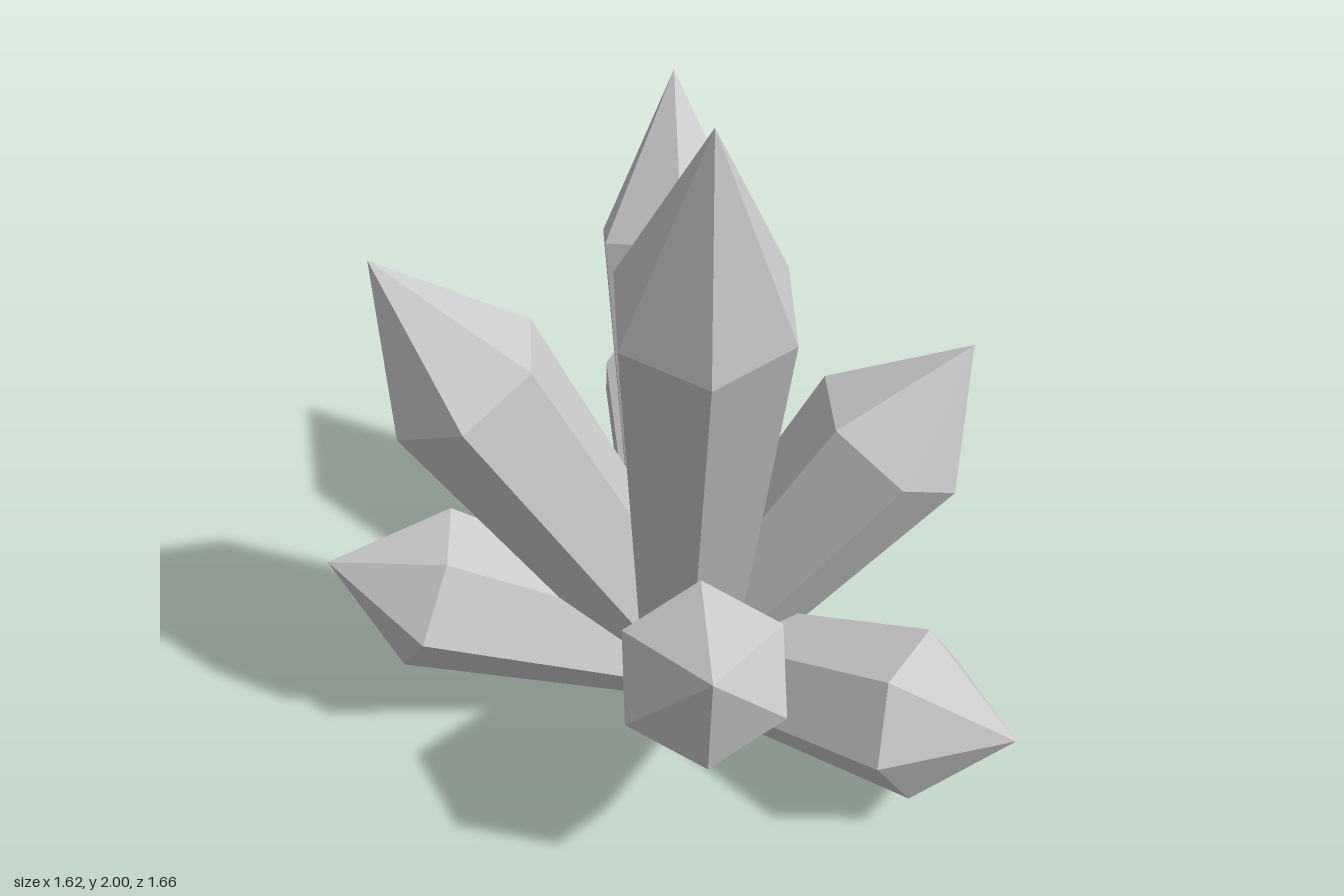
import * as THREE from 'three';

const material = new THREE.MeshStandardMaterial({ color: 0xcccccc, flatShading: true });
const ROOT = new THREE.Vector3(0.08, 0.14, 0.07);
const BASE_RADIUS = 0.13, SHOULDER_RADIUS = 0.208, SHAFT_SHARE = 0.73;

// Six-sided crystal growing from the shared root to its tip.
// edgeUp: an edge (rather than a flat) runs along the upper side.
function crystal(name, tip, edgeUp) {
  const dir = new THREE.Vector3(...tip).sub(ROOT);
  const length = dir.length();
  dir.normalize();
  const side = new THREE.Vector3(0, 1, 0).cross(dir).normalize();
  const other = edgeUp ? side.clone().cross(dir) : dir.clone().cross(side);

  const group = new THREE.Group();
  group.name = name;
  const shaftLength = length * SHAFT_SHARE;
  const tipLength = length - shaftLength;

  const shaft = new THREE.Mesh(
    new THREE.CylinderGeometry(SHOULDER_RADIUS, BASE_RADIUS, shaftLength, 6), material);
  shaft.name = 'shaft';
  shaft.position.y = shaftLength / 2;

  const point = new THREE.Mesh(
    new THREE.ConeGeometry(SHOULDER_RADIUS, tipLength, 6, 1, true), material);
  point.name = 'point';
  point.position.y = shaftLength + tipLength / 2;

  group.add(shaft, point);
  const basis = edgeUp
    ? new THREE.Matrix4().makeBasis(side, dir, other)
    : new THREE.Matrix4().makeBasis(other, dir, side);
  group.quaternion.setFromRotationMatrix(basis);
  group.position.copy(ROOT);
  return group;
}

export function createModel() {
  const model = new THREE.Group();
  model.name = 'crystalCluster';

  // Name, tip position, edge along the upper side
  const crystals = [
    ['tallFrontCrystal', [0.08, 2.0, 0.585], true],
    ['tallBackCrystal', [0.08, 1.5, -0.545], true],
    ['lowFrontCrystal', [0.08, 0.81, 0.83], true],
    ['lowBackCrystal', [0.085, 0.68, -0.83], true],
    ['tallRightCrystal', [-0.63, 1.39, 0.075], false],
    ['tallLeftCrystal', [0.74, 1.1, 0.07], false],
    ['lowRightCrystal', [-0.81, 0.48, 0.055], false],
    ['lowLeftCrystal', [0.81, 0.36, 0.62], false],
  ];
  for (const spec of crystals) model.add(crystal(...spec));

  // Rough stub where the crystals meet
  const stub = new THREE.Mesh(new THREE.IcosahedronGeometry(0.08, 0), material);
  stub.name = 'rootStub';
  stub.position.set(0.06, 0.068, 0.06);
  model.add(stub);

  return model;
}
